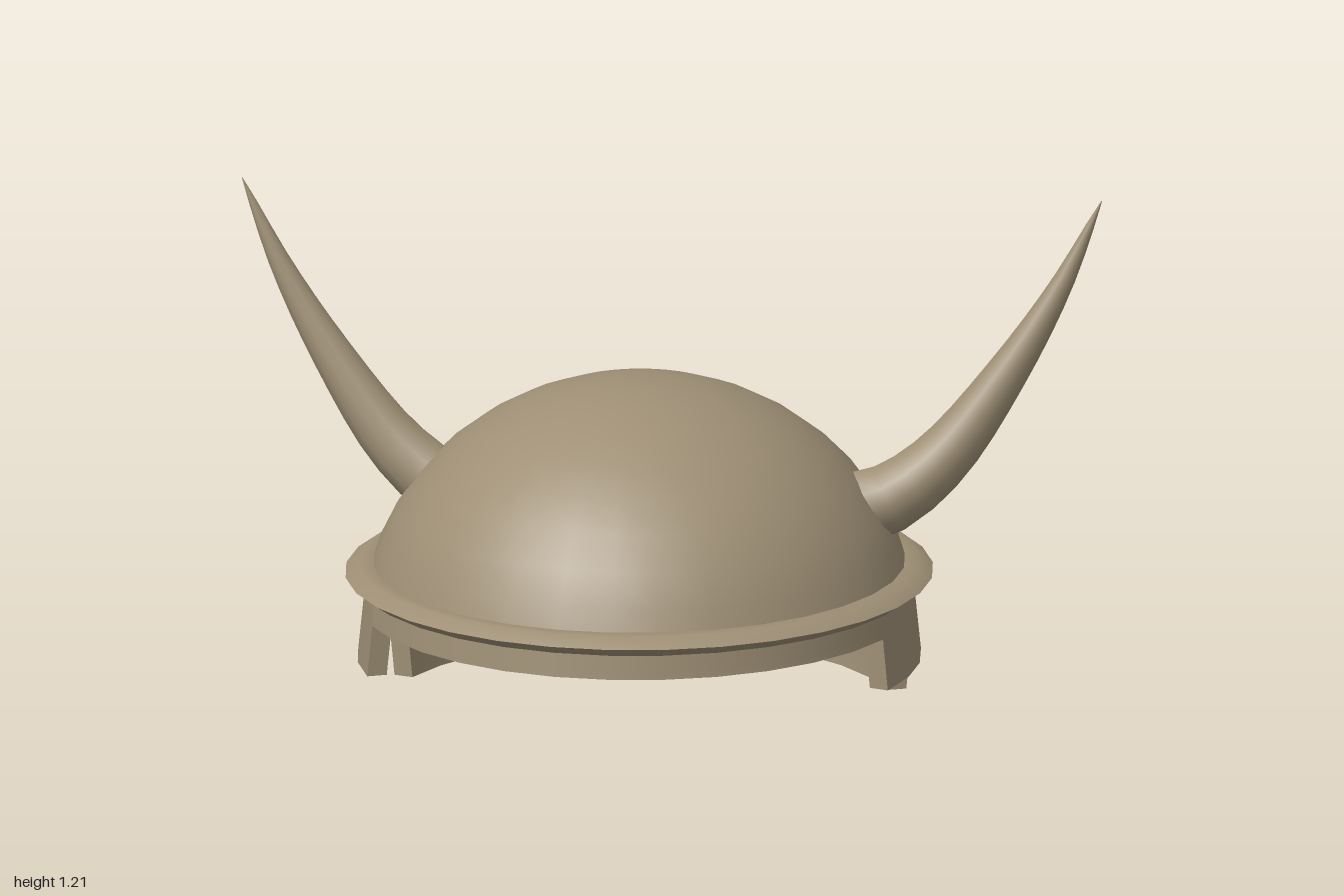
import * as THREE from 'three';
import { toCreasedNormals } from 'three/addons/utils/BufferGeometryUtils.js';

const WIDTH = 0.94;      // the helmet is slightly narrower than it is long
const CENTRE_X = -0.06;
const SEGMENTS = 32;
const rad = THREE.MathUtils.degToRad;

export function createModel() {
  const bronze = new THREE.MeshStandardMaterial({ color: 0x9e8f75, side: THREE.DoubleSide });
  bronze.name = 'tan bronze';
  const model = new THREE.Group();
  model.name = 'hornedHelmet';

  const add = (name, geometry, parent = model) => {
    const mesh = new THREE.Mesh(geometry, bronze);
    mesh.name = name;
    parent.add(mesh);
    return mesh;
  };

  const shell = new THREE.Group();
  shell.name = 'shell';
  shell.position.x = CENTRE_X;
  model.add(shell);

  // Revolve a profile of [radius, height] pairs into an oval part
  const revolve = (name, profile, start = 0, length = Math.PI * 2, segments = SEGMENTS) => {
    const points = profile.map(([r, y]) => new THREE.Vector2(r, y));
    const geometry = new THREE.LatheGeometry(points, segments, start, length);
    geometry.scale(WIDTH, 1, 1);
    return add(name, toCreasedNormals(geometry, rad(38)), shell);
  };

  // Dome with an inner wall
  const arc = (radius, height, from) => {
    const points = [];
    for (let i = 0; i <= 9; i++) {
      const a = from + (Math.PI / 2 - from) * (i / 9);
      points.push([Math.max(0, radius * Math.cos(a)), 0.2 + height * Math.sin(a)]);
    }
    return points;
  };
  revolve('dome', arc(0.682, 0.588, 0.2));
  revolve('domeLining', arc(0.64, 0.55, 0.21).reverse());

  // Raised rim around the dome
  revolve('rim', [
    [0.6, 0.333], [0.635, 0.31], [0.69, 0.31], [0.725, 0.333],
    [0.69, 0.356], [0.635, 0.356], [0.6, 0.333],
  ]);

  // Stepped lower band: brow, cheeks and neck guard
  const wall = (y) => (y < 0.13 ? 0.68 + 0.015 * (y / 0.13) : 0.695 - 0.022 * ((y - 0.13) / 0.2));
  const band = (name, bottom, from, to) => {
    const heights = [0, 1, 2, 3, 4].map((i) => bottom + (0.333 - bottom) * (i / 4));
    const outer = heights.map((y) => [wall(y), y]);
    const inner = heights.map((y) => [wall(y) - 0.05, y]).reverse();
    const start = rad(from);
    const length = rad(to - from);
    const profile = [...outer, ...inner, outer[0]];
    revolve(name, profile, start, length, Math.max(4, Math.round((to - from) / 11.25)));
    // End faces where the band steps down
    for (const angle of [start, start + length]) {
      const shape = new THREE.Shape([...outer, ...inner].map(([r, y]) => new THREE.Vector2(r, y)));
      const cap = new THREE.ShapeGeometry(shape);
      cap.rotateY(angle - Math.PI / 2);
      cap.scale(WIDTH, 1, 1);
      add(name + 'End', cap, shell);
    }
  };
  band('browBand', 0.25, -68, 68);
  band('leftCheekBand', 0.13, 68, 111.3);
  band('rightCheekBand', 0.13, -111.3, -68);
  band('neckGuard', 0, 111.3, 248.7);

  // Curved horns, tapering along a path
  const makeHorn = (side) => {
    const path = new THREE.CatmullRomCurve3([
      [0.455, 0.485, -0.045], [0.53, 0.515, -0.052], [0.64, 0.605, -0.075],
      [0.785, 0.8, -0.11], [0.905, 1.0, -0.137], [1.0, 1.205, -0.155],
    ].map(([x, y, z]) => new THREE.Vector3(x * side, y, z)));
    const steps = 14;
    const sides = 12;
    const geometry = new THREE.TubeGeometry(path, steps, 1, sides, false);
    const position = geometry.attributes.position;
    const centre = new THREE.Vector3();
    const point = new THREE.Vector3();
    for (let i = 0; i <= steps; i++) {
      const t = i / steps;
      path.getPointAt(t, centre);
      const radius = 0.087 * Math.pow(1 - t, 0.85) + 0.001;
      for (let j = 0; j <= sides; j++) {
        const k = i * (sides + 1) + j;
        point.fromBufferAttribute(position, k).sub(centre).multiplyScalar(radius).add(centre);
        position.setXYZ(k, point.x, point.y, point.z);
      }
    }
    const name = side > 0 ? 'leftHorn' : 'rightHorn';
    add(name, toCreasedNormals(geometry, rad(50)));

    // Flat base of the horn
    const base = add(name + 'Base', new THREE.CircleGeometry(0.088, sides));
    base.position.copy(path.getPointAt(0));
    base.quaternion.setFromUnitVectors(new THREE.Vector3(0, 0, 1), path.getTangentAt(0).negate());
  };
  makeHorn(1);
  makeHorn(-1);

  return model;
}
